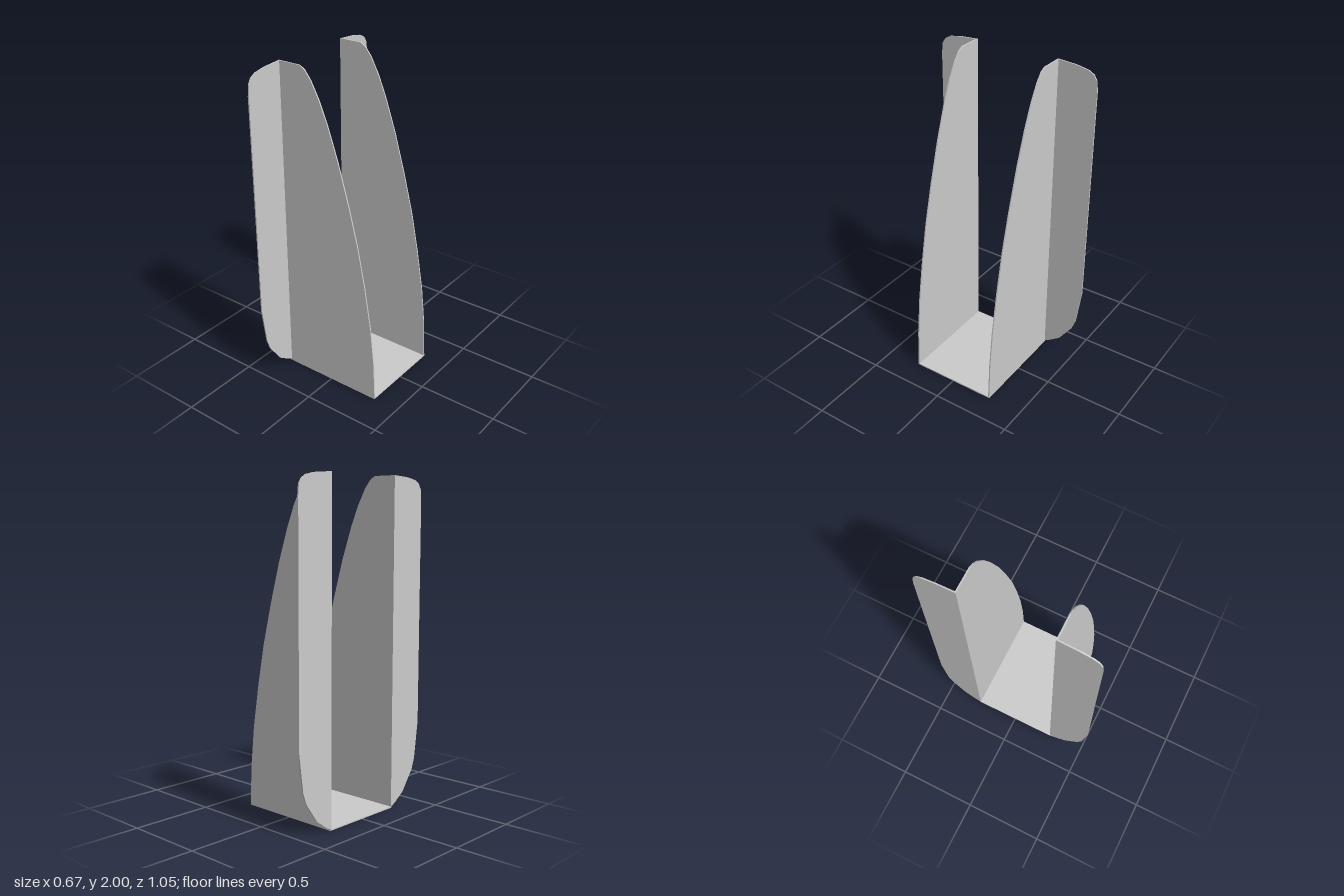
import * as THREE from 'three';

const T = 0.008;       // sheet thickness
const HALF_X = 0.335;  // half depth of the base
const HALF_Z = 0.277;  // half distance between the outer wall faces

// Side wall outline as [x, y]
const wallProfile = [
  [-HALF_X, 0], [HALF_X, 0], [0.324, 0.25], [0.298, 0.5], [0.255, 0.76], [0.205, 1.01],
  [0.143, 1.25], [0.07, 1.5], [0, 1.7], [-0.055, 1.83], [-0.11, 1.93], [-0.15, 1.98],
  [-0.185, 2], [-HALF_X, 2],
];

// Flange outline as [z, y]
const flangeProfile = [
  [HALF_Z - T, 0.01], [0.285, 0.013], [0.31, 0.027], [0.385, 0.08], [0.47, 0.2], [0.495, 0.27],
  [0.526, 0.5], [0.526, 1.86], [0.52, 1.925], [0.5, 1.958], [0.465, 1.978],
  [0.39, 1.992], [HALF_Z - T, 2],
];

function sheet(points) {
  const shape = new THREE.Shape(points.map(([x, y]) => new THREE.Vector2(x, y)));
  return new THREE.ExtrudeGeometry(shape, { depth: T, bevelEnabled: false });
}

export function createModel() {
  const group = new THREE.Group();
  const material = new THREE.MeshStandardMaterial({ color: 0xcccccc, flatShading: true });
  const add = (name, geometry) => {
    const mesh = new THREE.Mesh(geometry, material);
    mesh.name = name;
    group.add(mesh);
  };

  // Floor between the walls
  add('basePlate', new THREE.BoxGeometry(2 * HALF_X, T, 2 * (HALF_Z - T)).translate(0, T / 2, 0));

  // Mirrored walls, each with an outward flange along its straight edge
  for (const [label, s] of [['front', 1], ['back', -1]]) {
    add(label + 'Wall', sheet(wallProfile).translate(0, 0, s > 0 ? HALF_Z - T : -HALF_Z));
    const flange = sheet(flangeProfile.map(([z, y]) => [s * z, y]));
    add(label + 'Flange', flange.rotateY(-Math.PI / 2).translate(-HALF_X + T, 0, 0));
  }
  return group;
}
